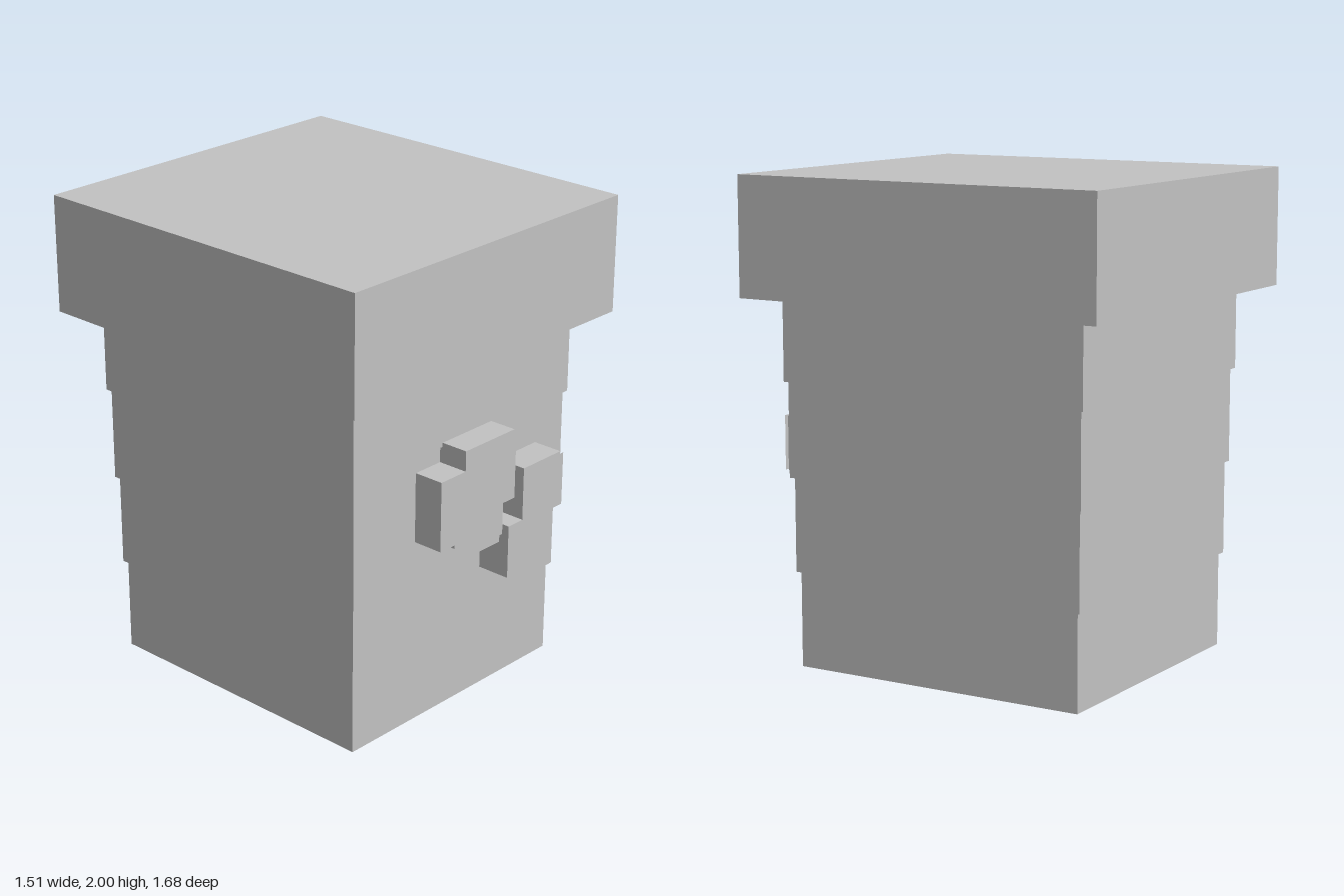
import * as THREE from 'three';

export function createModel() {
  const model = new THREE.Group();
  const stone = new THREE.MeshStandardMaterial({ color: 0xc2c2c2 });
  stone.name = 'light grey stone';
  stone.side = THREE.DoubleSide;

  // Box given by its extents on each axis
  function block(name, [x0, x1], [y0, y1], [z0, z1]) {
    const mesh = new THREE.Mesh(new THREE.BoxGeometry(x1 - x0, y1 - y0, z1 - z0), stone);
    mesh.position.set((x0 + x1) / 2, (y0 + y1) / 2, (z0 + z1) / 2);
    mesh.name = name;
    model.add(mesh);
  }

  // Flat sheet facing the front, standing clear of a stud
  function plate(name, [x0, x1], [y0, y1], z) {
    const mesh = new THREE.Mesh(new THREE.PlaneGeometry(x1 - x0, y1 - y0), stone);
    mesh.position.set((x0 + x1) / 2, (y0 + y1) / 2, z);
    mesh.name = name;
    model.add(mesh);
  }

  // Stepped tiers, widening upwards: bottom, top, half width, back, front
  const tiers = [
    [0, 0.395, 0.592, -0.675, 0.61],
    [0.395, 0.783, 0.606, -0.69, 0.625],
    [0.783, 1.173, 0.621, -0.702, 0.64],
    [1.173, 1.513, 0.635, -0.717, 0.652],
    [1.513, 2, 0.757, -0.84, 0.77],
  ];
  tiers.forEach(([y0, y1, w, z0, z1], i) =>
    block(i === 4 ? 'capBlock' : `bodyTier${i + 1}`, [-w, w], [y0, y1], [z0, z1]));

  // Cluster of small studs set into the front, some with a plate: name, x, y, plate z
  const studs = [
    ['upper', [-0.133, 0.156], [0.9, 1.19], 0.78],
    ['left', [-0.273, 0.012], [0.812, 1.105], 0.84],
    ['small', [-0.137, 0.032], [0.762, 0.932], 0.81],
    ['right', [0.223, 0.452], [0.773, 1.0], 0.785],
    ['lower', [0.138, 0.367], [0.549, 0.776]],
  ];
  for (const [name, x, y, plateZ] of studs) {
    block(`${name}Stud`, x, y, [0.6, 0.77]);
    if (plateZ) plate(`${name}StudPlate`, x, y, plateZ);
  }

  return model;
}
